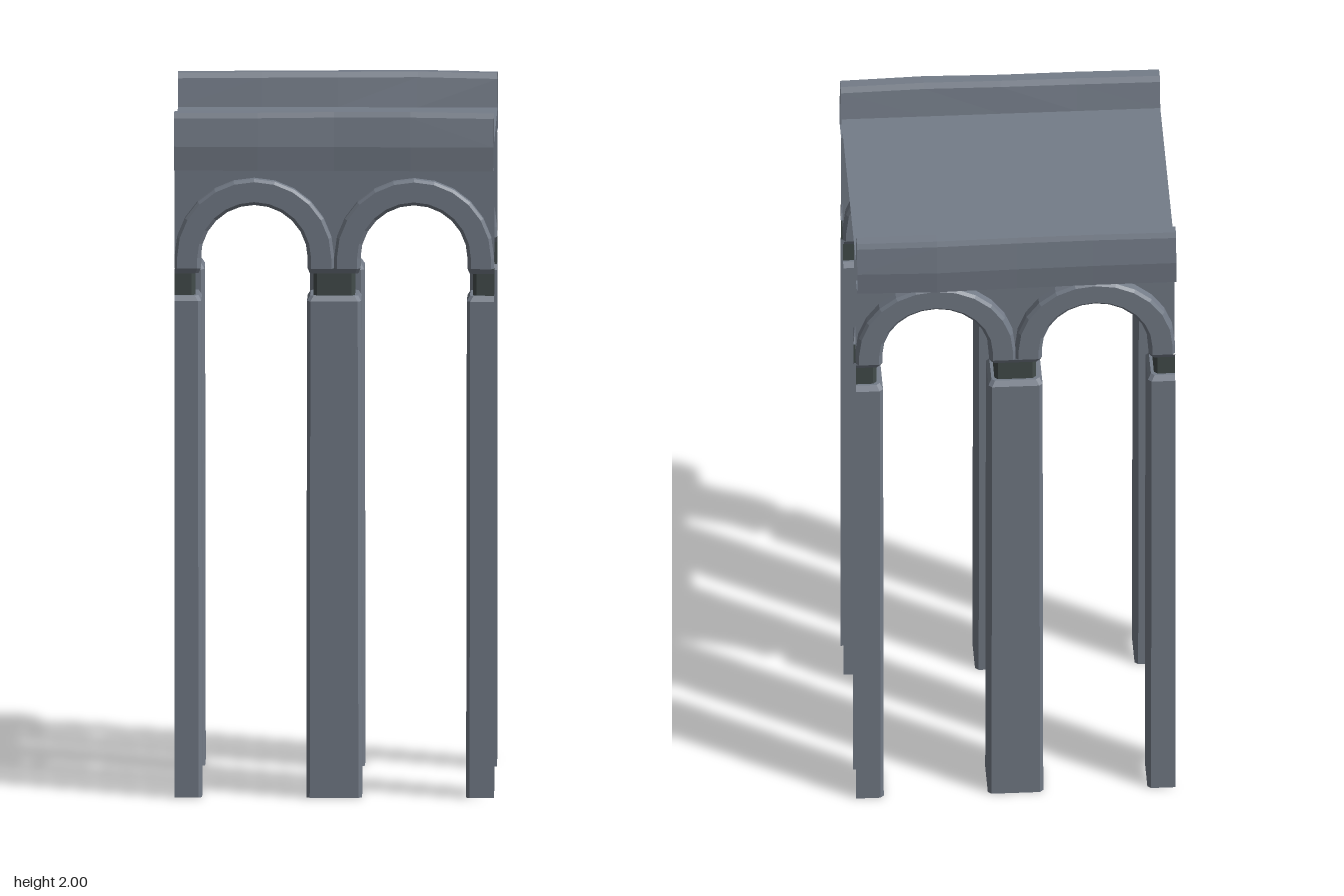
import * as THREE from 'three';

const stone = new THREE.MeshStandardMaterial({ color: 0x747c88, flatShading: true, side: THREE.DoubleSide });
const darkStone = new THREE.MeshStandardMaterial({ color: 0x434c4b, flatShading: true, side: THREE.DoubleSide });

const HALF = 0.46;      // half length of the span
const BAY = 0.23;       // half width of one arch bay
const SPRING = 1.57;    // height where the arches start to curve
const WALL = 0.038;     // half thickness of the spandrel wall
const DEPTH = 0.072;    // half depth of piers and arch rings
const DECK = 1.9;
const LEDGE = 1.83;     // underside of the parapets

// Skin a list of open cross-sections, each with the same number of points
function loft(sections) {
  const n = sections[0].length, pos = [], idx = [];
  sections.forEach(s => s.forEach(p => pos.push(...p)));
  for (let i = 0; i < sections.length - 1; i++) {
    for (let j = 0; j < n - 1; j++) {
      const a = i * n + j, b = a + 1, c = b + n, d = a + n;
      idx.push(a, b, c, a, c, d);
    }
  }
  const g = new THREE.BufferGeometry();
  g.setAttribute('position', new THREE.Float32BufferAttribute(pos, 3));
  g.setIndex(idx);
  const flat = g.toNonIndexed();
  flat.computeVertexNormals();
  return flat;
}

function add(parent, name, geometry, material = stone) {
  const mesh = new THREE.Mesh(geometry, material);
  mesh.name = name;
  parent.add(mesh);
  return mesh;
}

// Half of a chamfered rectangle, open on the x = 0 side
function halfOutline(y, w, d, c = 0.01) {
  return [[0, y, d], [w - c, y, d], [w, y, d - c], [w, y, c - d], [w - c, y, -d], [0, y, -d]];
}

const shaftGeo = loft([
  halfOutline(0, 0.08, 0.071), halfOutline(1.445, 0.078, 0.071),
  halfOutline(1.46, 0.069, 0.06), halfOutline(1.46, 0.06, 0.053)]);
const collarGeo = loft([halfOutline(1.46, 0.06, 0.053), halfOutline(1.525, 0.06, 0.053)]);
const impostGeo = loft([
  halfOutline(1.525, 0.06, 0.053), halfOutline(1.525, 0.07, 0.063), halfOutline(1.54, 0.076, DEPTH)]);

// Half pier opening away from its facing side
function halfPier(x, side) {
  const pier = new THREE.Group();
  pier.name = 'halfPier';
  add(pier, 'shaft', shaftGeo);
  add(pier, 'collar', collarGeo, darkStone);
  add(pier, 'impost', impostGeo);
  pier.position.x = x;
  pier.scale.x = side;
  return pier;
}

// Points along an arch of the given radius, with short straight legs
function archPath(r, segments = 12) {
  const pts = [[r, 1.54]];
  for (let i = 0; i <= segments; i++) {
    const t = Math.PI * i / segments;
    pts.push([r * Math.cos(t), SPRING + r * Math.sin(t)]);
  }
  pts.push([-r, 1.54]);
  return pts;
}

// Hollow ring: raised rims on both faces joined by the soffit
function archRing() {
  const profile = [
    [BAY, -WALL], [BAY, -DEPTH + 0.008], [BAY - 0.008, -DEPTH], [0.164, -DEPTH], [0.154, -DEPTH + 0.01],
    [0.154, DEPTH - 0.01], [0.164, DEPTH], [BAY - 0.008, DEPTH], [BAY, DEPTH - 0.008], [BAY, WALL]];
  const paths = profile.map(([r]) => archPath(r));
  return loft(paths[0].map((_, i) => profile.map(([, z], k) => [...paths[k][i], z])));
}

// Flat wall above one arch
function spandrel(top) {
  const shape = new THREE.Shape();
  shape.moveTo(-BAY, top);
  archPath(BAY).slice(1, -1).reverse().forEach(([x, y]) => shape.lineTo(x, y));
  shape.lineTo(BAY, top);
  return new THREE.ShapeGeometry(shape);
}

// Worn parapet swept along x; wear lists [x, outward shift, height drop]
function parapet(wear) {
  return loft(wear.map(([x, out, drop]) => [
    [x, DECK, 0.345], [x, 1.985 - drop, 0.36 + out * 0.5], [x, 2 - drop, 0.37 + out * 0.5],
    [x, 2 - drop, 0.4 + out], [x, 1.985 - drop, 0.407 + out], [x, DECK, 0.418 + out],
    [x, LEDGE, 0.414 + out], [x, LEDGE, 0.35]]));
}

export function createModel() {
  const model = new THREE.Group();
  model.name = 'aqueductSection';

  // Two arcades, front and back
  const ringGeo = archRing(), outerWall = spandrel(LEDGE), innerWall = spandrel(DECK);
  for (const side of [1, -1]) {
    const arcade = new THREE.Group();
    arcade.name = side > 0 ? 'frontArcade' : 'backArcade';
    arcade.position.z = side * 0.304 + 0.009;
    arcade.scale.z = side;
    model.add(arcade);

    for (const [x, s] of [[-HALF, 1], [0, -1], [0, 1], [HALF, -1]]) arcade.add(halfPier(x, s));

    for (const x of [-BAY, BAY]) {
      add(arcade, 'archRing', ringGeo).position.x = x;
      add(arcade, 'outerSpandrel', outerWall).position.set(x, 0, WALL);
      const inner = add(arcade, 'innerSpandrel', innerWall);
      inner.position.set(x, 0, -WALL);
      inner.rotation.y = Math.PI;
    }
  }

  // Parapets with slightly uneven wear
  add(model, 'frontParapet', parapet([
    [-HALF, 0.002, 0.004], [-0.22, 0.004, 0.003], [0, 0, 0.001], [0.22, 0.005, 0], [HALF, 0.002, 0.004]]));
  add(model, 'backParapet', parapet([
    [-HALF, -0.002, 0.004], [-0.22, -0.002, 0.002], [0, 0.001, 0.001], [0.23, 0.007, 0], [HALF, 0, 0.004]])).scale.z = -1;

  // Deck slab surface
  const deck = add(model, 'deck', new THREE.PlaneGeometry(2 * HALF, 0.69));
  deck.rotation.x = -Math.PI / 2;
  deck.position.y = DECK;

  return model;
}
